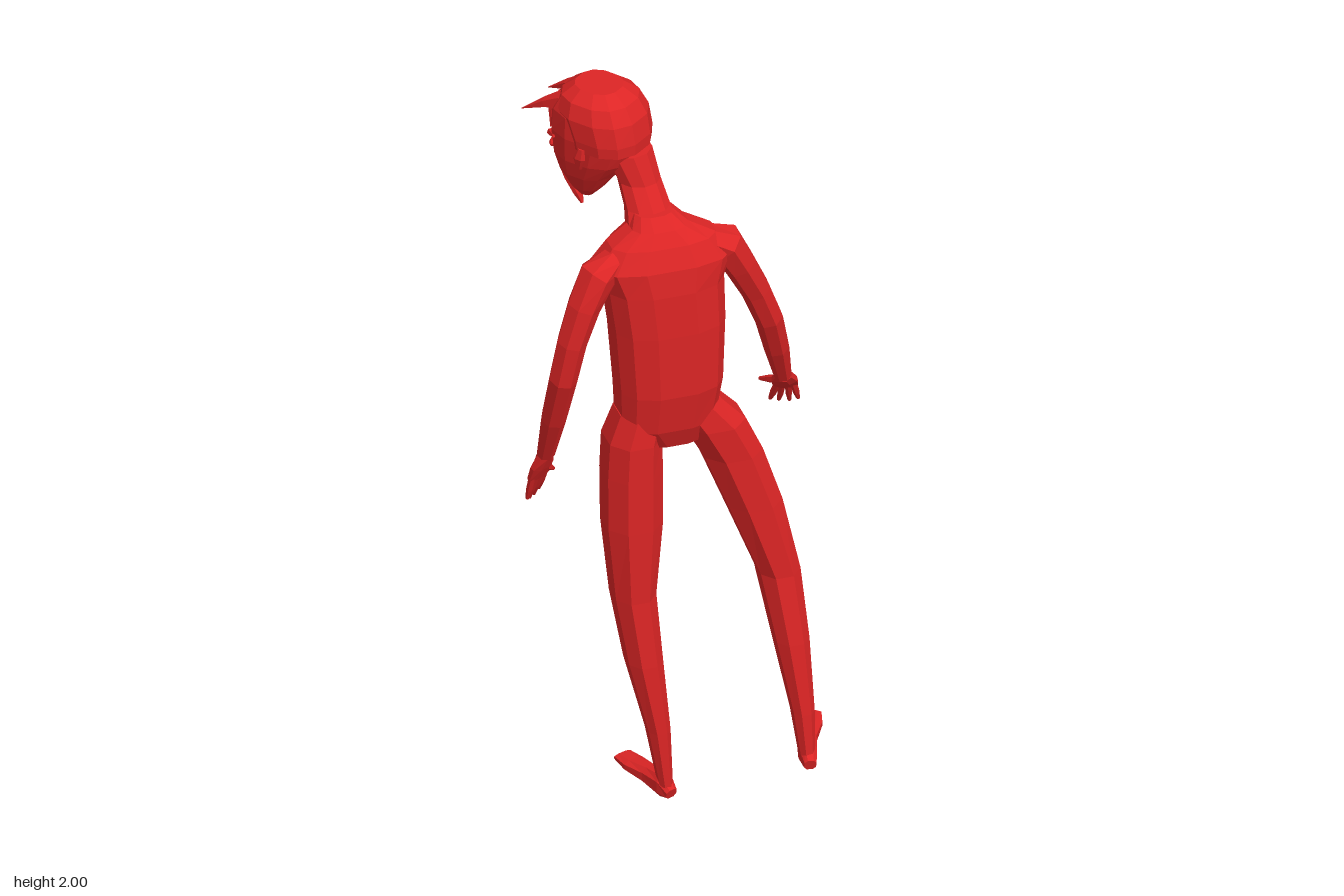
import * as THREE from 'three';

const red = new THREE.MeshStandardMaterial({ color: 0xdd2525 });
red.name = 'red';

// Closed skin over rings [x, y, z, halfWidth, halfDepth]; level rings stay horizontal,
// otherwise they stand across the path. A power below 1 makes the section boxier.
function loft(name, rings, { sides = 8, level = false, power = 1, ref = [1, 0, 0] } = {}) {
  const centres = rings.map(r => new THREE.Vector3(r[0], r[1], r[2]));
  const last = rings.length - 1;
  const loops = rings.map((r, i) => {
    const t = level
      ? new THREE.Vector3(0, Math.sign(rings[last][1] - rings[0][1]), 0)
      : centres[Math.min(i + 1, last)].clone().sub(centres[Math.max(i - 1, 0)]).normalize();
    const u = new THREE.Vector3(...ref);
    u.addScaledVector(t, -u.dot(t)).normalize();
    const v = t.clone().cross(u);
    const bend = c => Math.sign(c) * Math.pow(Math.abs(c), power);
    return Array.from({ length: sides }, (_, j) => {
      const a = (j + 0.5) / sides * Math.PI * 2;
      return centres[i].clone()
        .addScaledVector(u, r[3] * bend(Math.cos(a)))
        .addScaledVector(v, r[4] * bend(Math.sin(a)));
    });
  });
  const points = [];
  for (let j = 0; j < sides; j++) {
    const k = (j + 1) % sides;
    points.push(centres[0], loops[0][k], loops[0][j]);
    points.push(centres[last], loops[last][j], loops[last][k]);
    for (let i = 0; i < last; i++) {
      const [a, b, c, d] = [loops[i][j], loops[i][k], loops[i + 1][k], loops[i + 1][j]];
      points.push(a, b, c, a, c, d);
    }
  }
  const geometry = new THREE.BufferGeometry().setFromPoints(points);
  geometry.computeVertexNormals(); // unshared corners give flat facets
  const mesh = new THREE.Mesh(geometry, red);
  mesh.name = name;
  return mesh;
}

// Arm, palm and fingers
function arm(name, path, palmEnd, palmRef, tips, thumbTip) {
  const g = new THREE.Group();
  g.name = name;
  g.add(loft(name + 'Limb', path, { sides: 7 }));
  const w = path[path.length - 1];
  const wrist = new THREE.Vector3(w[0], w[1], w[2]);
  const end = new THREE.Vector3(...palmEnd);
  const mid = wrist.clone().lerp(end, 0.5);
  g.add(loft(name + 'Palm', [
    [...wrist, 0.021, 0.02], [...mid, 0.034, 0.017], [...end, 0.034, 0.012],
  ], { ref: palmRef }));
  const across = new THREE.Vector3(...palmRef);
  tips.forEach((tip, i) => {
    const root = end.clone().addScaledVector(across, (i - 1.5) * 0.016).lerp(mid, 0.15);
    const joint = root.clone().lerp(new THREE.Vector3(...tip), 0.6);
    g.add(loft(name + 'Finger', [
      [...root, 0.009, 0.009], [...joint, 0.0085, 0.0085], [...tip, 0.005, 0.005],
    ], { sides: 6, ref: palmRef }));
  });
  const tip = new THREE.Vector3(...thumbTip);
  g.add(loft(name + 'Thumb', [
    [...mid, 0.014, 0.013], [...mid.clone().lerp(tip, 0.6), 0.01, 0.01], [...tip, 0.005, 0.005],
  ], { sides: 6, ref: palmRef }));
  return g;
}

function makeHead() {
  const head = new THREE.Group();
  head.name = 'head';
  // Skull and jaw, facing local +z
  const skull = [
    [0, 1.67, 0.035, 0.018, 0.018], [0, 1.70, 0.03, 0.045, 0.042], [0, 1.75, 0.025, 0.07, 0.075],
    [0, 1.80, 0.012, 0.086, 0.105], [0, 1.87, 0, 0.097, 0.125], [0, 1.93, 0, 0.097, 0.117],
    [0, 1.97, 0, 0.084, 0.094], [0, 1.992, 0, 0.055, 0.06],
  ];
  head.add(loft('skull', skull, { sides: 12, level: true, power: 0.85 }));
  // Hair shell over the back and crown
  head.add(loft('hairCap', [
    [0, 1.85, -0.032, 0.099, 0.1], [0, 1.88, -0.03, 0.103, 0.103], [0, 1.935, -0.012, 0.103, 0.112],
    [0, 1.975, -0.004, 0.088, 0.096], [0, 2.0, 0, 0.055, 0.06],
  ], { sides: 12, level: true, power: 0.85 }));
  // Long nose hanging past the chin
  head.add(loft('nose', [
    [0, 1.81, 0.1, 0.016, 0.02], [0, 1.76, 0.108, 0.022, 0.02],
    [0, 1.70, 0.085, 0.018, 0.016], [0, 1.66, 0.062, 0.014, 0.012], [0, 1.632, 0.05, 0.004, 0.004],
  ], { sides: 6 }));
  for (const s of [-1, 1]) {
    // Forward spikes, fringe strands, eyes, brows and ears
    head.add(loft('hairSpike', [
      [s * 0.042, 1.945, 0.075, 0.026, 0.026], [s * 0.05, 1.925, 0.125, 0.016, 0.014],
      [s * 0.058, 1.888, 0.19, 0.001, 0.001],
    ], { sides: 5 }));
    head.add(loft('fringe', [
      [s * 0.016, 1.94, 0.1, 0.016, 0.014], [s * 0.018, 1.89, 0.128, 0.011, 0.008],
      [s * 0.02, 1.835, 0.13, 0.001, 0.001],
    ], { sides: 5 }));
    const eye = new THREE.Mesh(new THREE.SphereGeometry(0.017, 8, 6).toNonIndexed(), red);
    eye.geometry.computeVertexNormals();
    eye.name = 'eye';
    eye.scale.set(1.1, 0.75, 0.6);
    eye.position.set(s * 0.042, 1.815, 0.104);
    head.add(eye);
    head.add(loft('brow', [
      [s * 0.018, 1.828, 0.118, 0.008, 0.008], [s * 0.05, 1.842, 0.112, 0.009, 0.008],
      [s * 0.078, 1.855, 0.082, 0.004, 0.004],
    ], { sides: 5, ref: [0, 1, 0] }));
    head.add(loft('ear', [
      [s * 0.088, 1.795, 0, 0.006, 0.008], [s * 0.097, 1.83, -0.006, 0.008, 0.018],
      [s * 0.097, 1.86, -0.012, 0.005, 0.01],
    ], { sides: 6, level: true }));
  }
  head.rotation.y = Math.atan2(-0.61, -0.79);
  head.position.set(-0.185, 0, -0.035);
  return head;
}

export function createModel() {
  const model = new THREE.Group();
  model.name = 'figure';

  // Torso up to the base of the neck
  model.add(loft('torso', [
    [-0.045, 1.03, 0.11, 0.075, 0.05], [-0.06, 1.09, 0.105, 0.125, 0.082],
    [-0.055, 1.2, 0.11, 0.135, 0.098], [-0.06, 1.38, 0.112, 0.145, 0.103],
    [-0.07, 1.5, 0.112, 0.152, 0.102], [-0.075, 1.57, 0.118, 0.178, 0.09],
    [-0.075, 1.625, 0.118, 0.138, 0.068], [-0.08, 1.66, 0.108, 0.075, 0.055],
    [-0.09, 1.69, 0.085, 0.05, 0.05],
  ], { sides: 12, level: true, power: 0.75 }));
  model.add(loft('neck', [
    [-0.085, 1.64, 0.1, 0.075, 0.055], [-0.095, 1.69, 0.07, 0.058, 0.05],
    [-0.105, 1.75, 0.035, 0.054, 0.05], [-0.13, 1.83, 0.01, 0.065, 0.06],
  ], { sides: 10, level: true }));

  model.add(arm('leftArm', [
    [0.035, 1.6, 0.125, 0.035, 0.045], [0.088, 1.575, 0.125, 0.05, 0.052],
    [0.13, 1.5, 0.113, 0.042, 0.045], [0.18, 1.4, 0.09, 0.038, 0.04],
    [0.22, 1.3, 0.07, 0.036, 0.037], [0.255, 1.18, 0.025, 0.032, 0.033],
    [0.29, 1.055, -0.03, 0.022, 0.022],
  ], [0.318, 0.985, -0.095], [0.83, 0.25, 0.5], [
    [0.297, 0.912, -0.152], [0.321, 0.902, -0.156], [0.344, 0.905, -0.142], [0.357, 0.925, -0.113],
  ], [0.271, 0.975, -0.152]));
  model.add(arm('rightArm', [
    [-0.2, 1.585, 0.13, 0.035, 0.045], [-0.25, 1.56, 0.145, 0.048, 0.052],
    [-0.288, 1.48, 0.152, 0.042, 0.046], [-0.318, 1.38, 0.15, 0.038, 0.04],
    [-0.335, 1.27, 0.135, 0.036, 0.038], [-0.34, 1.12, 0.075, 0.032, 0.034],
    [-0.338, 0.975, 0.008, 0.023, 0.023],
  ], [-0.344, 0.89, -0.032], [0.93, 0.1, -0.36], [
    [-0.366, 0.815, -0.05], [-0.354, 0.803, -0.07], [-0.339, 0.805, -0.08], [-0.326, 0.82, -0.08],
  ], [-0.297, 0.885, -0.055]));

  // Legs, hip to ankle
  model.add(loft('leftLeg', [
    [0.01, 1.13, 0.105, 0.07, 0.075], [0.06, 1.06, 0.1, 0.085, 0.085],
    [0.11, 0.96, 0.097, 0.08, 0.08], [0.168, 0.8, 0.095, 0.074, 0.076],
    [0.232, 0.59, 0.1, 0.055, 0.066], [0.256, 0.4, 0.13, 0.045, 0.055],
    [0.277, 0.2, 0.16, 0.029, 0.038], [0.284, 0.07, 0.175, 0.019, 0.026],
  ], { level: true, power: 0.9 }));
  model.add(loft('rightLeg', [
    [-0.125, 1.13, 0.105, 0.065, 0.075], [-0.145, 1.05, 0.1, 0.073, 0.086],
    [-0.147, 0.95, 0.1, 0.076, 0.083], [-0.145, 0.8, 0.098, 0.076, 0.08],
    [-0.143, 0.59, 0.1, 0.056, 0.068], [-0.12, 0.4, 0.113, 0.047, 0.058],
    [-0.088, 0.2, 0.13, 0.03, 0.04], [-0.072, 0.04, 0.14, 0.018, 0.026],
  ], { level: true, power: 0.9 }));

  // Feet, heel to toe, turned outward with the toes raised
  model.add(loft('leftFoot', [
    [0.282, 0.062, 0.208, 0.016, 0.016], [0.288, 0.073, 0.17, 0.024, 0.034],
    [0.305, 0.077, 0.11, 0.026, 0.024], [0.335, 0.08, 0.05, 0.031, 0.015],
    [0.35, 0.085, 0.012, 0.026, 0.007],
  ], { power: 0.8 }));
  model.add(loft('rightFoot', [
    [-0.064, 0.022, 0.165, 0.016, 0.016], [-0.073, 0.033, 0.135, 0.024, 0.034],
    [-0.09, 0.031, 0.075, 0.026, 0.024], [-0.112, 0.03, 0.015, 0.031, 0.015],
    [-0.127, 0.032, -0.03, 0.026, 0.007],
  ], { power: 0.8 }));

  model.add(makeHead());
  return model;
}
